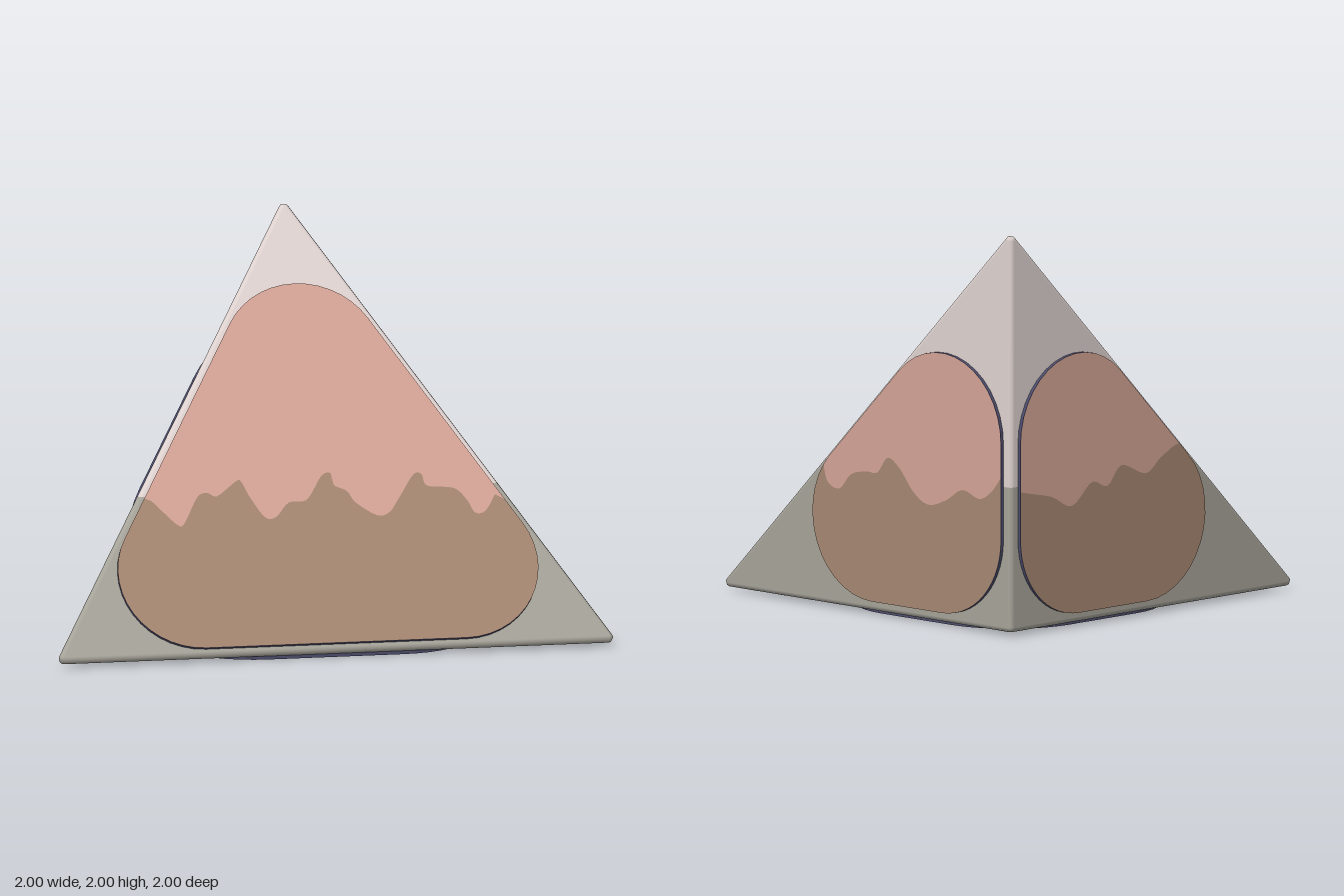
import * as THREE from 'three';
import { ConvexGeometry } from 'three/addons/geometries/ConvexGeometry.js';

const V = (x, y, z) => new THREE.Vector3(x, y, z);
const paint = (name, color) => {
  const m = new THREE.MeshStandardMaterial({ color });
  m.name = name;
  return m;
};

const LO = -0.98, FLOOR = 0.02;   // planes of the three square-cornered faces
const ROUND = 0.025;              // edge rounding of the shell
const THICK = 0.02;               // panel thickness
const SPLIT = 0.745;              // height of the colour change on the shell
const REACH = 2 * 0.98 - FLOOR + 0.1083; // leg length of the unrounded corner
const corners = [V(LO, FLOOR, LO), V(LO + REACH, FLOOR, LO), V(LO, FLOOR + REACH, LO), V(LO, FLOOR, LO + REACH)];

function geometryFrom(positions, normals) {
  const g = new THREE.BufferGeometry();
  g.setAttribute('position', new THREE.Float32BufferAttribute(positions, 3));
  g.setAttribute('normal', new THREE.Float32BufferAttribute(normals, 3));
  return g;
}

// Tetrahedron with rounded edges: hull of small sphere patches at the four corners
function roundedBody() {
  const a = LO + ROUND, b = FLOOR + ROUND, len = 1.93;
  const cores = [V(a, b, a), V(a + len, b, a), V(a, b + len, a), V(a, b, a + len)];
  const normals = [V(1, 1, 1).normalize(), V(-1, 0, 0), V(0, -1, 0), V(0, 0, -1)];
  const points = [], N = 5;
  cores.forEach((core, c) => {
    const [p, q, r] = normals.filter((_, i) => i !== c);
    for (let i = 0; i <= N; i++) for (let j = 0; j <= N - i; j++) {
      const d = V(0, 0, 0).addScaledVector(p, i).addScaledVector(q, j).addScaledVector(r, N - i - j);
      points.push(core.clone().addScaledVector(d.normalize(), ROUND));
    }
  });
  const pos = new ConvexGeometry(points).getAttribute('position');
  const verts = [];
  for (let i = 0; i < pos.count; i++) {
    const p = V(0, 0, 0).fromBufferAttribute(pos, i);
    const core = cores.reduce((m, c) => (c.distanceTo(p) < m.distanceTo(p) ? c : m));
    verts.push({ p, n: p.clone().sub(core).normalize() });
  }
  return verts;
}

// Keep the part of the body above (side = 1) or below (side = -1) the split height
function cutBody(verts, side) {
  const P = [], Nn = [];
  for (let i = 0; i < verts.length; i += 3) {
    const poly = [];
    for (let k = 0; k < 3; k++) {
      const a = verts[i + k], b = verts[i + (k + 1) % 3];
      const da = (a.p.y - SPLIT) * side, db = (b.p.y - SPLIT) * side;
      if (da >= 0) poly.push(a);
      if (da * db < 0) {
        const t = da / (da - db);
        poly.push({ p: a.p.clone().lerp(b.p, t), n: a.n.clone().lerp(b.n, t).normalize() });
      }
    }
    for (let k = 1; k + 1 < poly.length; k++) for (const v of [poly[0], poly[k], poly[k + 1]]) {
      P.push(...v.p.toArray());
      Nn.push(...v.n.toArray());
    }
  }
  return geometryFrom(P, Nn);
}

// Outline of a triangle moved inward and given round corners
function roundedTriangle(tri, inset, r) {
  const out = [], STEPS = 14;
  tri.forEach((p, i) => {
    const a = tri[(i + 2) % 3].clone().sub(p).normalize();
    const b = tri[(i + 1) % 3].clone().sub(p).normalize();
    const half = Math.acos(a.dot(b)) / 2;
    const mid = a.clone().add(b).normalize();
    const c = p.clone().addScaledVector(mid, (inset + r) / Math.sin(half));
    const from = Math.atan2(-mid.y, -mid.x), sweep = Math.PI / 2 - half;
    for (let k = 0; k <= STEPS; k++) {
      const ang = from - sweep + 2 * sweep * k / STEPS;
      out.push(new THREE.Vector2(c.x + r * Math.cos(ang), c.y + r * Math.sin(ang)));
    }
  });
  return out;
}

// Lowest and highest point of a convex outline at a given column
function span(outline, s) {
  let lo = Infinity, hi = -Infinity;
  outline.forEach((a, i) => {
    const b = outline[(i + 1) % outline.length];
    if (s < Math.min(a.x, b.x) - 1e-6 || s > Math.max(a.x, b.x) + 1e-6) return;
    const d = b.x - a.x;
    const ys = Math.abs(d) < 1e-6 ? [a.y, b.y] : [a.y + (b.y - a.y) * THREE.MathUtils.clamp((s - a.x) / d, 0, 1)];
    lo = Math.min(lo, ...ys);
    hi = Math.max(hi, ...ys);
  });
  return [lo, hi];
}

function heightAt(wave, s) {
  if (s <= wave[0].x) return wave[0].y;
  for (let i = 1; i < wave.length; i++) {
    const a = wave[i - 1], b = wave[i];
    if (s <= b.x) return a.y + (b.y - a.y) * (s - a.x) / Math.max(b.x - a.x, 1e-9);
  }
  return wave[wave.length - 1].y;
}

// Flat strip of quads between two height lines
function strip(columns, low, high) {
  const P = [], Nn = [];
  for (let i = 0; i + 1 < columns.length; i++) {
    const s = columns[i], t = columns[i + 1];
    if (high[i] - low[i] + high[i + 1] - low[i + 1] < 1e-7) continue;
    P.push(s, low[i], THICK, t, low[i + 1], THICK, t, high[i + 1], THICK);
    P.push(s, low[i], THICK, t, high[i + 1], THICK, s, high[i], THICK);
    for (let k = 0; k < 6; k++) Nn.push(0, 0, 1);
  }
  return geometryFrom(P, Nn);
}

// Wavy colour borders: (x, y) on the slope, (distance from corner edge, height) on the others
const slopeWave = [[-0.93, 0.745], [-0.89, 0.73], [-0.84, 0.69], [-0.75, 0.62], [-0.73, 0.63], [-0.73, 0.74],
  [-0.7, 0.755], [-0.66, 0.74], [-0.62, 0.8], [-0.6, 0.8], [-0.54, 0.73], [-0.45, 0.64], [-0.41, 0.64],
  [-0.39, 0.7], [-0.33, 0.71], [-0.32, 0.81], [-0.29, 0.82], [-0.26, 0.77], [-0.2, 0.74], [-0.15, 0.69],
  [-0.05, 0.63], [-0.01, 0.64], [0, 0.7], [0.01, 0.8], [0.04, 0.8], [0.08, 0.75], [0.18, 0.735],
  [0.25, 0.68], [0.3, 0.625], [0.335, 0.63], [0.34, 0.7]];
const backWave = [[0.05, 0.79], [0.12, 0.71], [0.2, 0.67], [0.315, 0.7], [0.43, 0.635], [0.55, 0.6], [0.65, 0.65],
  [0.75, 0.76], [0.83, 0.8], [0.9, 0.72], [0.975, 0.715], [1.08, 0.69], [1.16, 0.61], [1.24, 0.63], [1.27, 0.71]];
const sideWave = [[0.05, 0.72], [0.14, 0.7], [0.27, 0.67], [0.41, 0.61], [0.55, 0.71], [0.66, 0.68], [0.76, 0.77],
  [0.93, 0.71], [1.04, 0.78], [1.18, 0.83], [1.3, 0.73]];

export function createModel() {
  const model = new THREE.Group();
  const upperShellPaint = paint('pale pink grey', 0xded2cf);
  const lowerShellPaint = paint('stone grey', 0xa6a399);
  const upperPanelPaint = paint('dusty pink', 0xd3a395);
  const lowerPanelPaint = paint('warm brown', 0xa58671);
  const rimPaint = paint('slate navy', 0x4c4c6c);

  const add = (parent, name, geometry, material) => {
    const mesh = new THREE.Mesh(geometry, material);
    mesh.name = name;
    parent.add(mesh);
  };

  // Shell
  const body = roundedBody();
  add(model, 'upperShell', cutBody(body, 1), upperShellPaint);
  add(model, 'lowerShell', cutBody(body, -1), lowerShellPaint);

  // Raised panel on one face; up and out give its orientation
  function panel(name, out, up, omit, inset, r, wavePoints) {
    out.normalize();
    up.normalize();
    const group = new THREE.Group();
    group.name = name;
    const tri3 = corners.filter((_, i) => i !== omit);
    const frame = new THREE.Matrix4().makeBasis(up.clone().cross(out), up, out).setPosition(tri3[0]);
    const inverse = frame.clone().invert();
    const flat = p => {
      const q = p.clone().applyMatrix4(inverse);
      return new THREE.Vector2(q.x, q.y);
    };
    const tri = tri3.map(flat);
    if (THREE.ShapeUtils.area(tri) < 0) tri.reverse();
    const outline = roundedTriangle(tri, inset, r);

    const rim = new THREE.ExtrudeGeometry(new THREE.Shape(outline), { depth: THICK - 0.002, bevelEnabled: false });
    add(group, 'panelRim', rim, rimPaint);

    let wave = null;
    if (wavePoints) {
      const pts = wavePoints.map(flat).sort((a, b) => a.x - b.x);
      wave = new THREE.SplineCurve(pts).getPoints(150).sort((a, b) => a.x - b.x);
    }
    const xs = outline.map(p => p.x), min = Math.min(...xs), max = Math.max(...xs);
    const columns = [...xs, ...(wave || []).map(p => p.x)]
      .filter(s => s >= min && s <= max).sort((a, b) => a - b)
      .filter((s, i, all) => i === 0 || s - all[i - 1] > 1e-6);
    const spans = columns.map(s => span(outline, s));
    const low = spans.map(s => s[0]), high = spans.map(s => s[1]);
    const border = columns.map((s, i) => (wave ? THREE.MathUtils.clamp(heightAt(wave, s), low[i], high[i]) : high[i]));
    add(group, 'lowerPanelFace', strip(columns, low, border), lowerPanelPaint);
    if (wave) add(group, 'upperPanelFace', strip(columns, border, high), upperPanelPaint);

    group.applyMatrix4(frame);
    model.add(group);
  }

  panel('slopePanel', V(1, 1, 1), V(-1, 2, -1), 0, 0.06, 0.4, slopeWave.map(([x, y]) => V(x, y, 0.143 - x - y)));
  panel('backPanel', V(0, 0, -1), V(0, 1, 0), 3, 0.05, 0.41, backWave.map(([u, y]) => V(LO + u, y, LO)));
  panel('sidePanel', V(-1, 0, 0), V(0, 1, 0), 1, 0.05, 0.41, sideWave.map(([u, y]) => V(LO, y, LO + u)));
  panel('bottomPanel', V(0, -1, 0), V(0, 0, 1), 2, 0.05, 0.41, null);
  return model;
}
